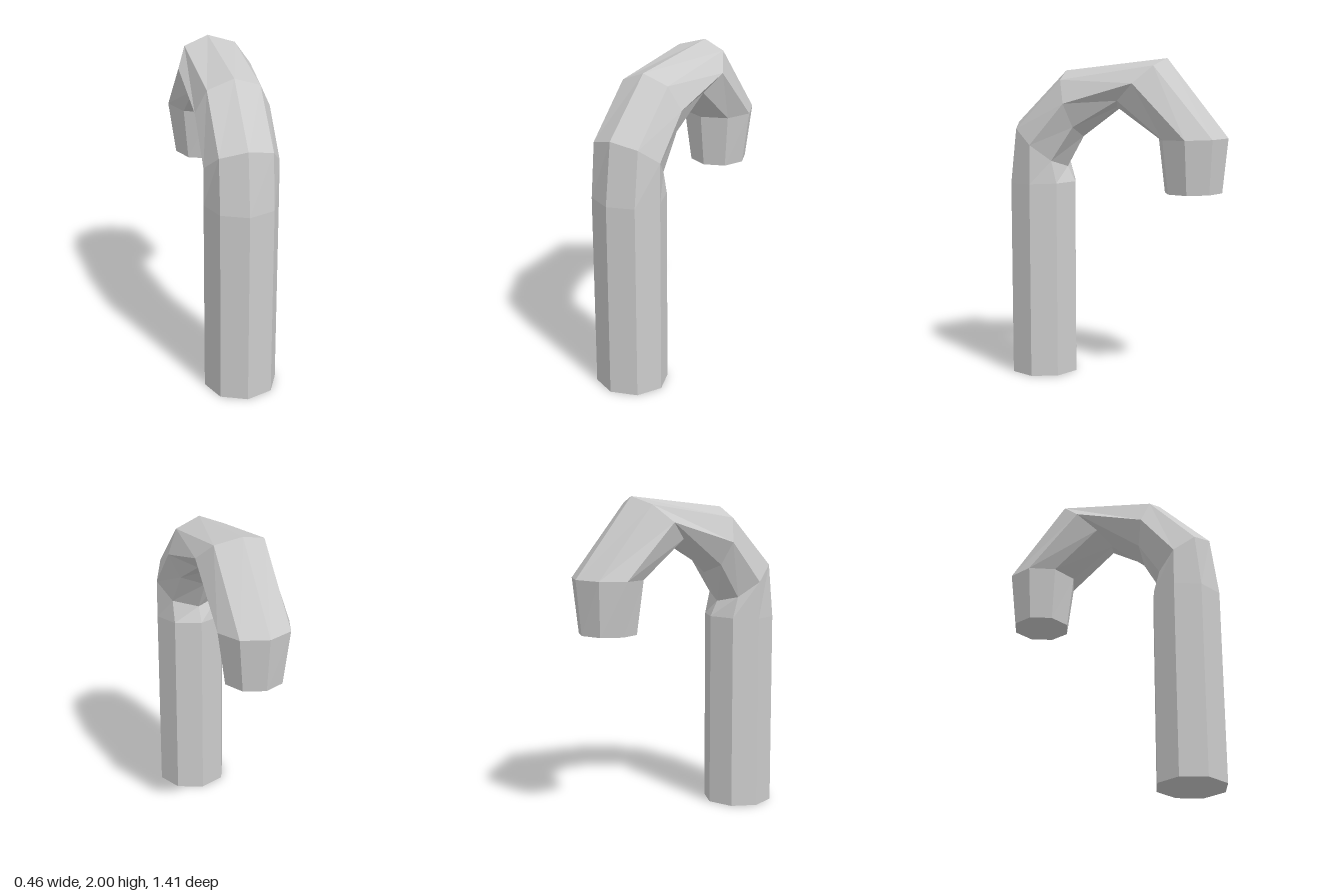
import * as THREE from 'three';

const SIDES = 8;

// Rings along the cane: outer and inner point as [z, y], half width in x, small twist
const RINGS = [
  { outer: [0.71, 0], inner: [0.275, 0], half: 0.225, twist: 0.045 },
  { outer: [0.71, 1.22], inner: [0.275, 1.23], half: 0.225, twist: 0.045 },
  { outer: [0.66, 1.6], inner: [0.325, 1.325], half: 0.225, twist: 0.04 },
  { outer: [0.335, 1.925], inner: [0.22, 1.515], half: 0.225, twist: 0.025 },
  { outer: [-0.32, 2.0], inner: [0.0, 1.7], half: 0.226, twist: 0.005 },
  { outer: [-0.705, 1.52], inner: [-0.27, 1.51], half: 0.227, twist: 0 },
  { outer: [-0.67, 1.185], inner: [-0.31, 1.18], half: 0.18, twist: 0 },
];

// Corner points of one eight-sided ring, starting at its outer point
function ringPoints({ outer, inner, half, twist }) {
  const cz = (outer[0] + inner[0]) / 2;
  const cy = (outer[1] + inner[1]) / 2;
  const points = [];
  for (let j = 0; j < SIDES; j++) {
    const a = (j / SIDES) * Math.PI * 2 - twist;
    points.push([
      half * Math.sin(a) - 0.01 * cz,
      cy + (outer[1] - cy) * Math.cos(a),
      cz + (outer[0] - cz) * Math.cos(a),
    ]);
  }
  return points;
}

// Faceted tube through a list of rings, with flat caps where asked
function loft(rings, capStart, capEnd) {
  const loops = rings.map(ringPoints);
  const last = loops.length - 1;
  const positions = [];
  const tri = (...corners) => corners.forEach((p) => positions.push(...p));
  for (let j = 0; j < SIDES; j++) {
    const n = (j + 1) % SIDES;
    for (let k = 0; k < last; k++) {
      tri(loops[k][j], loops[k][n], loops[k + 1][n]);
      tri(loops[k][j], loops[k + 1][n], loops[k + 1][j]);
    }
    if (j > 0 && j < SIDES - 1) {
      if (capStart) tri(loops[0][0], loops[0][n], loops[0][j]);
      if (capEnd) tri(loops[last][0], loops[last][j], loops[last][n]);
    }
  }
  const geometry = new THREE.BufferGeometry();
  geometry.setAttribute('position', new THREE.Float32BufferAttribute(positions, 3));
  geometry.computeVertexNormals();
  return geometry;
}

export function createModel() {
  const group = new THREE.Group();
  group.name = 'hookedPipe';
  const material = new THREE.MeshStandardMaterial({ color: 0xcccccc, flatShading: true });
  const add = (name, geometry) => {
    const mesh = new THREE.Mesh(geometry, material);
    mesh.name = name;
    group.add(mesh);
  };

  // Straight upright, curved hook, and tapered downward tip
  add('shaft', loft(RINGS.slice(0, 2), true, false));
  add('bend', loft(RINGS.slice(1, 6), false, false));
  add('tip', loft(RINGS.slice(5), false, true));
  return group;
}
